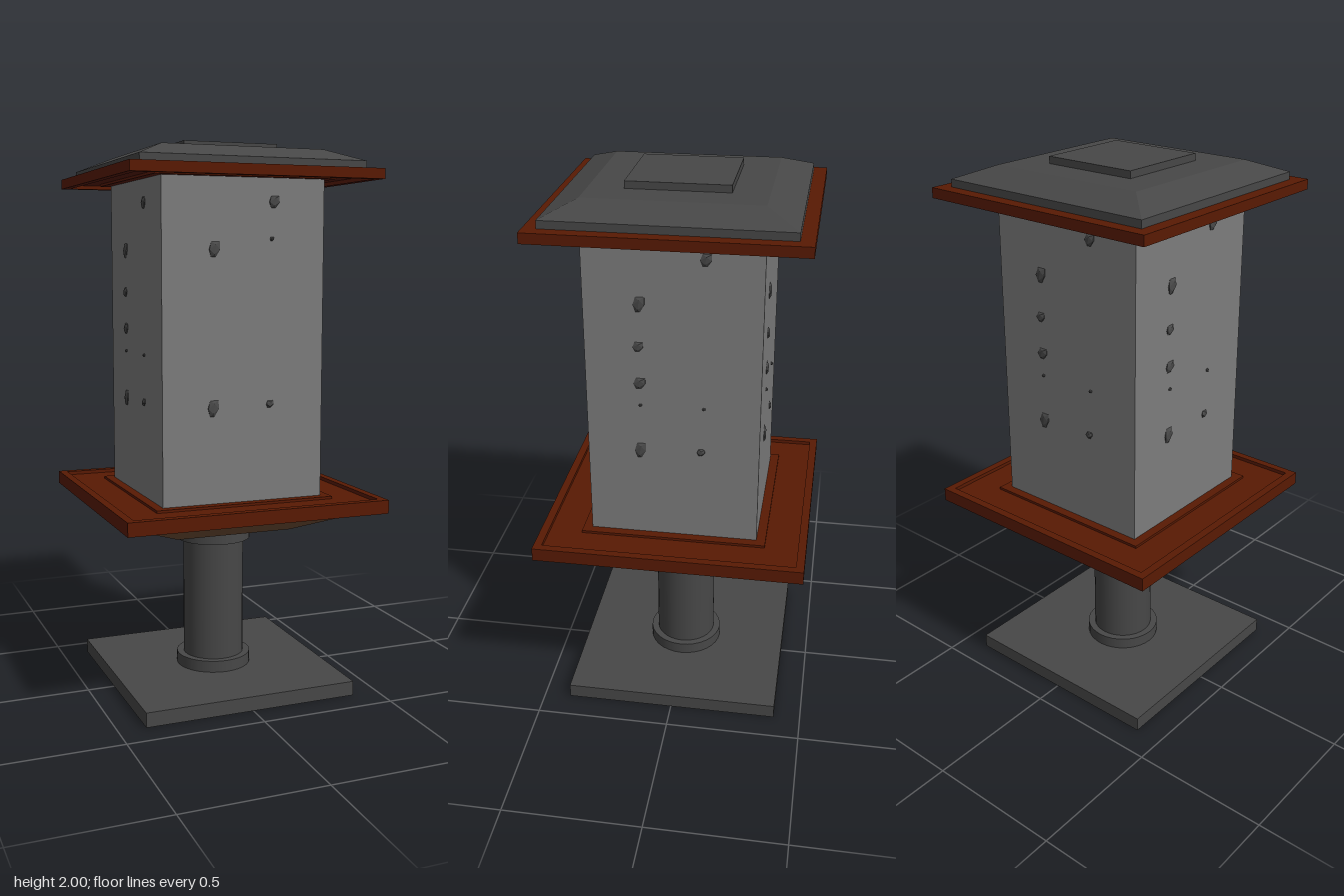
import * as THREE from 'three';

const mat = (name, color) => {
  const m = new THREE.MeshStandardMaterial({ color });
  m.name = name;
  return m;
};

export function createModel() {
  const model = new THREE.Group();
  model.name = 'birdFeeder';
  const metal = mat('dark grey metal', 0x474747);
  const panel = mat('grey panel', 0x7c7c7c);
  const wood = mat('red brown wood', 0x591a03);
  const hopperWood = mat('dull brown wood', 0x735037);
  const dark = mat('dark seed', 0x484848);

  const add = (name, geometry, material, parent = model) => {
    const mesh = new THREE.Mesh(geometry, material);
    mesh.name = name;
    parent.add(mesh);
    return mesh;
  };
  // Square block of half width h between two heights
  const block = (name, h, y0, y1, material, parent) => {
    const mesh = add(name, new THREE.BoxGeometry(2 * h, y1 - y0, 2 * h), material, parent);
    mesh.position.y = (y0 + y1) / 2;
  };
  // Flat-sided square frustum, half widths h0 (bottom) and h1 (top)
  const frustum = (name, h0, h1, y0, y1, material) => {
    let g = new THREE.CylinderGeometry(h1 * Math.SQRT2, h0 * Math.SQRT2, y1 - y0, 4);
    g.rotateY(Math.PI / 4);
    g = g.toNonIndexed();
    g.computeVertexNormals();
    add(name, g, material).position.y = (y0 + y1) / 2;
  };
  const round = (name, r, y0, y1) => {
    add(name, new THREE.CylinderGeometry(r, r, y1 - y0, 32), metal).position.y = (y0 + y1) / 2;
  };
  // Square frame, open in the middle
  const frame = (name, outer, inner, y0, y1, parent) => {
    const square = (h, Type) => new Type([[-h, -h], [h, -h], [h, h], [-h, h]]
      .map(([x, y]) => new THREE.Vector2(x, y)));
    const s = square(outer, THREE.Shape);
    s.holes.push(square(inner, THREE.Path));
    const g = new THREE.ExtrudeGeometry(s, { depth: y1 - y0, bevelEnabled: false });
    g.rotateX(-Math.PI / 2);
    add(name, g, wood, parent).position.y = y0;
  };

  // Stand
  block('base', 0.4, 0, 0.053, metal);
  round('lowerCollar', 0.14, 0.053, 0.096);
  round('pole', 0.114, 0.096, 0.546);
  round('upperCollar', 0.14, 0.546, 0.603);

  // Hopper and seed tray
  frustum('hopper', 0.22, 0.432, 0.603, 0.7, hopperWood);
  const tray = new THREE.Group();
  tray.name = 'tray';
  model.add(tray);
  block('trayFloor', 0.456, 0.698, 0.733, wood, tray);
  frame('trayRim', 0.484, 0.455, 0.697, 0.746, tray);
  frame('trayCollar', 0.335, 0.3, 0.733, 0.742, tray);

  // Square body
  block('body', 0.302, 0.735, 1.89, panel);

  // Roof plate, recessed underneath
  const eaves = new THREE.Group();
  eaves.name = 'eaves';
  model.add(eaves);
  block('eavesPlate', 0.431, 1.881, 1.903, wood, eaves);
  frame('eavesRim', 0.457, 0.43, 1.867, 1.903, eaves);
  frame('eavesCollar', 0.335, 0.3, 1.872, 1.881, eaves);

  // Lid
  block('lidEdge', 0.41, 1.903, 1.93, metal);
  frustum('lidSlope', 0.41, 0.298, 1.93, 1.975, metal);
  block('lidCap', 0.176, 1.975, 2, metal);

  // Faceted seeds set in the walls, tapering downwards: [x, y, half width, half height]
  const seed = new THREE.IcosahedronGeometry(1, 0);
  const p = seed.attributes.position;
  for (let i = 0; i < p.count; i++) {
    const y = p.getY(i);
    p.setX(i, p.getX(i) * (1 + 0.35 * y) + 0.2 * y);
  }
  seed.computeVertexNormals();
  const shared = [[0.11, 1.79, 0.022, 0.024], [-0.112, 1.627, 0.023, 0.031],
    [-0.116, 1.08, 0.023, 0.033], [0.098, 1.087, 0.016, 0.015]];
  const frontOnly = [[0.102, 1.664, 0.008, 0.008]];
  const otherSides = [[-0.118, 1.475, 0.021, 0.02], [-0.115, 1.34, 0.024, 0.023],
    [-0.113, 1.257, 0.007, 0.006], [0.107, 1.257, 0.007, 0.006]];
  ['front', 'right', 'back', 'left'].forEach((side, i) => {
    const seeds = new THREE.Group();
    seeds.name = side + 'Seeds';
    seeds.rotation.y = i * Math.PI / 2;
    model.add(seeds);
    [...shared, ...(i ? otherSides : frontOnly)].forEach(([x, y, w, h]) => {
      const mesh = add('seed', seed, dark, seeds);
      mesh.position.set(x, y, 0.302);
      mesh.scale.set(w, h, 0.009);
    });
  });

  return model;
}
